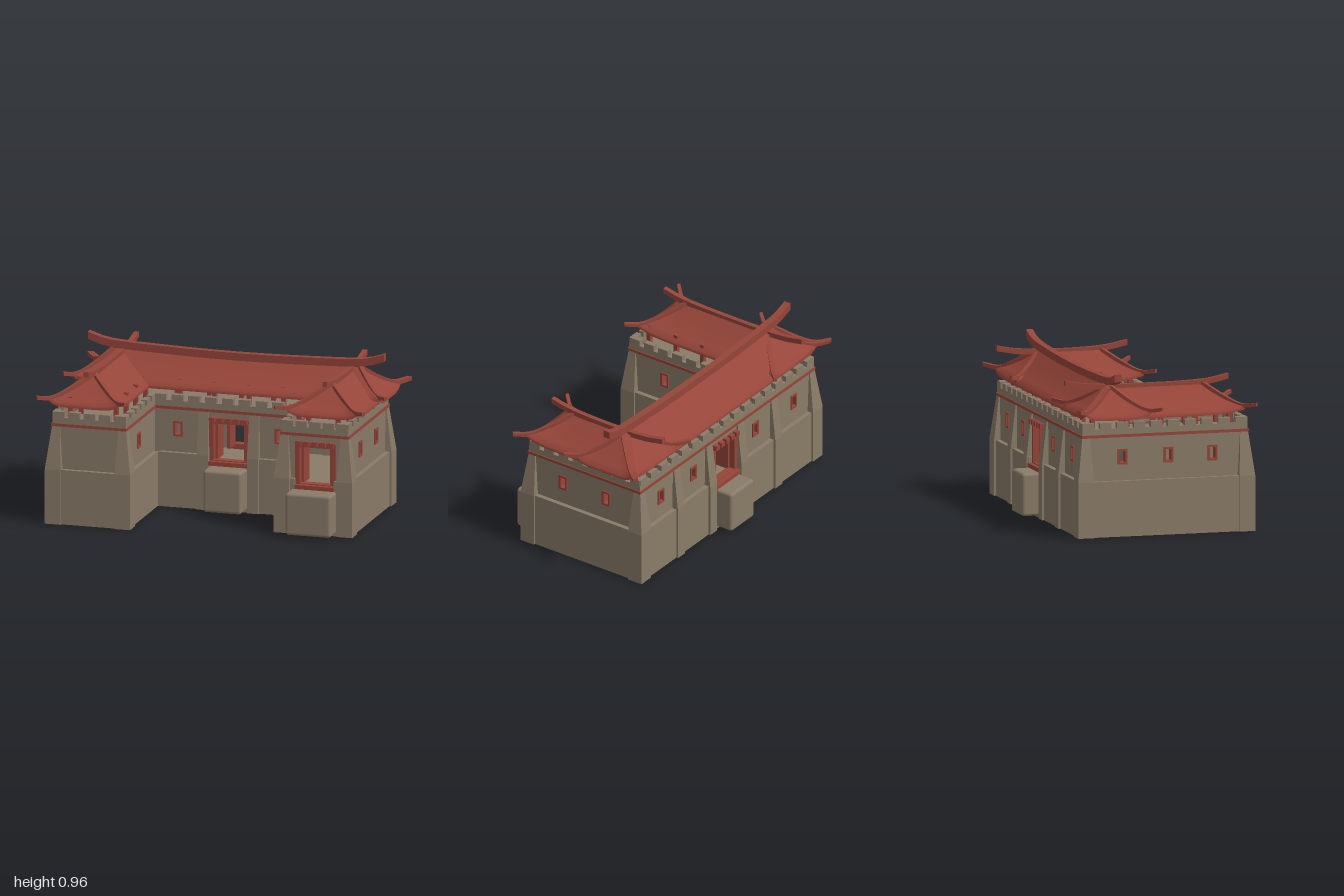
import * as THREE from 'three';
import { RoundedBoxGeometry } from 'three/addons/geometries/RoundedBoxGeometry.js';

export function createModel() {
  const root = new THREE.Group();
  root.name = 'fortifiedGatehouse';
  const stone = new THREE.MeshStandardMaterial({ name: 'stone', color: 0x8a7b68, side: THREE.DoubleSide });
  const red = new THREE.MeshStandardMaterial({ name: 'redTimber', color: 0x964539, side: THREE.DoubleSide });

  const add = (name, geo, mat, parent = root) => {
    const m = new THREE.Mesh(geo, mat);
    m.name = name;
    parent.add(m);
    return m;
  };
  const box = (name, x0, x1, y0, y1, z0, z1, mat, parent) =>
    add(name, new THREE.BoxGeometry(x1 - x0, y1 - y0, z1 - z0), mat, parent)
      .position.set((x0 + x1) / 2, (y0 + y1) / 2, (z0 + z1) / 2);

  // U-shaped footprint as [x, z] corners
  const plan = [[-0.91, -0.48], [-0.91, 0.58], [-0.41, 0.58], [-0.41, 0],
    [0.43, 0], [0.43, 0.37], [0.89, 0.37], [0.89, -0.48]];
  const dirOf = (i) => {
    const [ax, az] = plan[i % 8], [bx, bz] = plan[(i + 1) % 8];
    return [Math.sign(bx - ax), Math.sign(bz - az)];
  };
  // outward diagonal at a corner: sum of the normals of its two edges
  const diagonal = (i) => {
    const [px, pz] = dirOf(i + 7), [nx, nz] = dirOf(i);
    return [-pz - nz, px + nx];
  };
  const inset = (d) => plan.map(([x, z], i) => {
    const [sx, sz] = diagonal(i);
    return [x - sx * d, z - sz * d];
  });
  const path = (pts, type = THREE.Shape) => new type(pts.map(([x, y]) => new THREE.Vector2(x, y)));
  const rect = (x0, x1, y0, y1) => [[x0, y0], [x1, y0], [x1, y1], [x0, y1]];
  const extrude = (shape, depth) => new THREE.ExtrudeGeometry(shape, { depth, bevelEnabled: false });
  const flip = (pts) => pts.map(([x, z]) => [x, -z]);
  const slab = (name, outer, inner, y0, y1, mat) => {
    const s = path(flip(outer));
    if (inner) s.holes.push(path(flip(inner), THREE.Path));
    add(name, extrude(s, y1 - y0).rotateX(-Math.PI / 2), mat).position.y = y0;
  };

  // Framed opening
  const frame = (name, c, w, y0, y1, bar, parent) => {
    const s = path(rect(c - w / 2, c + w / 2, y0, y1));
    s.holes.push(path(rect(c - w / 2 + bar, c + w / 2 - bar, y0 + bar, y1 - bar), THREE.Path));
    add(name, extrude(s, 0.05), red, parent).position.z = -0.042;
  };

  // Walls: windows and doors are given by their x or z position on each edge
  const windows = [[-0.21, 0.07, 0.34], [], [0.3], [-0.295, 0.33], [], [], [0.1, -0.21], [0.655, 0.33, -0.295, -0.68]];
  const doors = { 3: 0.02, 5: 0.665, 7: 0.015 };
  const wall = (i, pts, y0, y1, isUpper) => {
    const [ax, az] = pts[i], [bx, bz] = pts[(i + 1) % 8], [dx, dz] = dirOf(i);
    const len = Math.hypot(bx - ax, bz - az);
    const g = new THREE.Group();
    g.name = isUpper ? 'upperWallSide' : 'lowerWallSide';
    g.position.set(ax, 0, az);
    g.rotation.y = Math.atan2(-dz, dx);
    root.add(g);
    const local = (v) => (dx ? (v - ax) * dx : (v - az) * dz);
    let outline = rect(0, len, y0, y1);
    if (i in doors) {
      const d = local(doors[i]), l = d - 0.12, r = d + 0.12;
      outline = isUpper
        ? [[0, y0], [l, y0], [l, 0.55], [r, 0.55], [r, y0], [len, y0], [len, y1], [0, y1]]
        : [[0, y0], [len, y0], [len, y1], [r, y1], [r, 0.27], [l, 0.27], [l, y1], [0, y1]];
      if (isUpper) {
        frame('doorFrame', d, 0.25, 0.27, 0.55, 0.03, g);
        box('doorSill', d - 0.12, d + 0.12, 0.27, 0.295, -0.03, 0.035, red, g);
        for (const s of [-1, 1]) {
          const x = d + s * 0.088;
          box('doorLeaf', x - 0.008, x + 0.008, 0.295, 0.52, -0.14, -0.03, red, g);
        }
        for (let k = -2; k <= 2; k++)
          box('lintelBracket', d + k * 0.05 - 0.016, d + k * 0.05 + 0.016, 0.53, 0.56, 0, 0.03, red, g);
      }
    }
    const s = path(outline);
    if (isUpper) for (const v of windows[i]) {
      const c = local(v);
      s.holes.push(path(rect(c - 0.025, c + 0.025, 0.43, 0.51), THREE.Path));
      frame('windowFrame', c, 0.058, 0.425, 0.517, 0.012, g);
    }
    add('wall', extrude(s, 0.04), stone, g).position.z = -0.04;
    return { g, len };
  };
  const upper = inset(0.028);
  for (let i = 0; i < 8; i++) {
    wall(i, plan, 0, 0.33, false);
    const { g, len } = wall(i, upper, 0.325, 0.59, true);
    // Battlements
    const n = Math.round(len / 0.11), step = (len - 0.07) / n;
    for (let k = 0; k <= n; k++)
      box('merlon', k * step, k * step + 0.07, 0.63, 0.675, -0.03, 0.004, stone, g);
  }
  slab('floor', inset(0.02), null, 0.255, 0.268, stone);
  slab('roofDeck', inset(0.04), null, 0.58, 0.595, stone);
  slab('trimBand', inset(0.018), inset(0.06), 0.588, 0.605, red);
  slab('parapet', inset(0.024), inset(0.058), 0.605, 0.64, stone);

  // Tapered buttress: a box whose top is remapped to a smaller rectangle
  const buttress = (b, t) => {
    box('buttressBase', Math.min(b[0], b[1]), Math.max(b[0], b[1]), 0, 0.33, Math.min(b[2], b[3]), Math.max(b[2], b[3]), stone);
    const geo = new THREE.BoxGeometry(1, 1, 1), p = geo.attributes.position;
    for (let i = 0; i < p.count; i++) {
      const r = p.getY(i) > 0 ? t : b;
      const xs = [r[0], r[1]].sort((m, n) => m - n), zs = [r[2], r[3]].sort((m, n) => m - n);
      p.setXYZ(i, xs[p.getX(i) > 0 ? 1 : 0], p.getY(i) > 0 ? 0.588 : 0.33, zs[p.getZ(i) > 0 ? 1 : 0]);
    }
    geo.computeVertexNormals();
    add('buttressTop', geo, stone);
  };
  for (const i of [0, 1, 2, 5, 6, 7]) {
    const [x, z] = plan[i], [sx, sz] = diagonal(i);
    buttress([x + sx * 0.012, x - sx * 0.085, z + sz * 0.012, z - sz * 0.085],
      [x - sx * 0.022, x - sx * 0.07, z - sz * 0.022, z - sz * 0.07]);
  }
  const midButtress = (x, z, s) => buttress([x - 0.035, x + 0.035, z + s * 0.012, z - s * 0.05],
    [x - 0.03, x + 0.03, z - s * 0.02, z - s * 0.05]);
  for (const x of [-0.48, -0.14, 0.175, 0.5]) midButtress(x, -0.48, -1);
  for (const x of [-0.135, 0.175]) midButtress(x, 0, 1);

  // Rounded blocks in front of the doors
  const block = (x, z, w, d) => add('doorBlock', new RoundedBoxGeometry(w, 0.255, d, 3, 0.018), stone).position.set(x, 0.142, z);
  block(0.02, 0.05, 0.235, 0.14);
  block(0.66, 0.42, 0.28, 0.13);
  block(0.015, -0.53, 0.23, 0.12);

  // Columns carrying the roofs
  const ring = inset(0.11);
  ring.forEach(([ax, az], i) => {
    const [bx, bz] = ring[(i + 1) % 8];
    const n = Math.max(1, Math.round(Math.hypot(bx - ax, bz - az) / 0.2));
    for (let k = 0; k < n; k++) {
      const x = ax + (bx - ax) * k / n, z = az + (bz - az) * k / n;
      box('roofColumn', x - 0.013, x + 0.013, 0.59, 0.75, z - 0.013, z + 0.013, red);
    }
  });

  // Curved beam with a rectangular section, its top running along the points
  const beam = (name, pts, w, h, tipScale = [1, 1]) => {
    const v = pts.map((p) => new THREE.Vector3(...p));
    const curve = new THREE.CatmullRomCurve3(v);
    const dir = v[v.length - 1].clone().sub(v[0]).setY(0).normalize();
    const geo = new THREE.BoxGeometry(1, 1, 1, 16, 1, 1), p = geo.attributes.position;
    for (let i = 0; i < p.count; i++) {
      const u = p.getX(i) + 0.5, c = curve.getPoint(u);
      const k = THREE.MathUtils.lerp(tipScale[0], tipScale[1], u);
      const o = p.getZ(i) * w * k;
      p.setXYZ(i, c.x - dir.z * o, c.y + (p.getY(i) - 0.5) * h * k, c.z + dir.x * o);
    }
    geo.computeVertexNormals();
    add(name, geo, red);
  };

  // Hipped roof with concave slopes and lifted corners
  const roof = (name, cx, cz, hx, hz, rx, rz, top) => {
    const y0 = 0.718, tmp = new THREE.Vector3(), up = new THREE.Vector3(0, 1, 0);
    for (let k = 0; k < 4; k++) {
      const geo = new THREE.PlaneGeometry(1, 1, 16, 6), p = geo.attributes.position;
      const [a, ra, b, rb] = k % 2 ? [hz, rz, hx, rx] : [hx, rx, hz, rz];
      for (let i = 0; i < p.count; i++) {
        const s = p.getX(i) * 2, v = p.getY(i) + 0.5;
        const t = Math.max(0, (v - 1 / 6) * 1.2), lift = 0.03 * s ** 6 * (1 - t) ** 2;
        const y = y0 + (top - y0) * (0.72 * t + 0.28 * t * t) + lift - (v < 0.01 ? 0.022 : 0);
        tmp.set(s * THREE.MathUtils.lerp(a, ra, t), y, THREE.MathUtils.lerp(b, rb, t)).applyAxisAngle(up, k * Math.PI / 2);
        p.setXYZ(i, tmp.x + cx, tmp.y, tmp.z + cz);
      }
      geo.computeVertexNormals();
      add(name, geo, red);
    }
    for (const sx of [-1, 1]) for (const sz of [-1, 1]) {
      const at = (t, y) => [cx + sx * THREE.MathUtils.lerp(hx, rx, t), y, cz + sz * THREE.MathUtils.lerp(hz, rz, t)];
      beam('hipRidge', [at(1, top + 0.012), at(0.5, 0.802), at(0.08, 0.758), at(-0.28, 0.768)], 0.026, 0.028, [1, 0.75]);
    }
  };
  roof('mainRoof', 0, -0.25, 0.94, 0.2, 0.76, 0.005, 0.87);
  roof('wingRoof', -0.7, 0.04, 0.215, 0.49, 0.005, 0.29, 0.86);
  roof('wingRoof', 0.7, -0.06, 0.215, 0.39, 0.005, 0.19, 0.86);

  // Ridge beams with upswept ends
  beam('mainRidge', [[-0.91, 0.963, -0.245], [-0.8, 0.93, -0.245], [-0.45, 0.91, -0.245], [0, 0.902, -0.245],
    [0.45, 0.91, -0.245], [0.8, 0.93, -0.245], [0.91, 0.963, -0.245]], 0.042, 0.045);
  for (const [x, z1] of [[-0.7, 0.49], [0.705, 0.29]]) {
    const m = (z1 - 0.51) / 2;
    beam('wingRidge', [[x, 0.908, -0.51], [x, 0.885, -0.38], [x, 0.874, m], [x, 0.885, z1 - 0.13], [x, 0.91, z1]], 0.03, 0.032);
  }
  return root;
}
